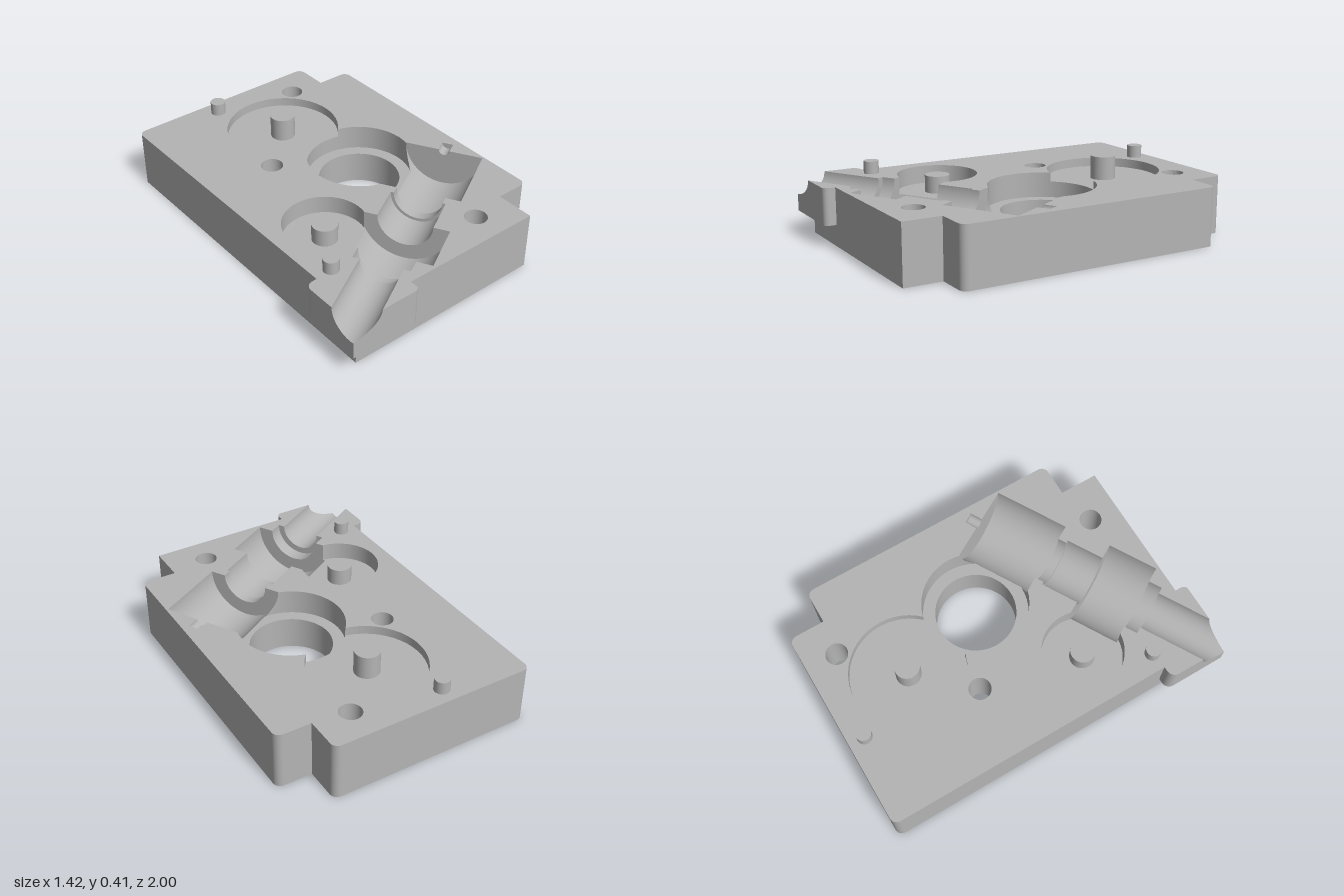
import * as THREE from 'three';

const TOP = 0.325, LUG = 0.12, EPS = 1e-6;
const V = (x, y, z) => new THREE.Vector3(x, y, z);
const metal = new THREE.MeshStandardMaterial({ color: 0xb4b4b4 });
metal.name = 'grey metal';

// --- Convex faces: arrays of { p: position, n: normal } ---
const planeOf = f => new THREE.Plane().setFromCoplanarPoints(f[0].p, f[1].p, f[2].p);
const mix = (a, b, t) => ({ p: a.p.clone().lerp(b.p, t), n: a.n.clone().lerp(b.n, t) });

// Face from points, turned so that it looks along the given direction
function face(points, outward, normals) {
  const f = points.map((p, i) => ({ p, n: normals ? normals[i] : outward }));
  return planeOf(f).normal.dot(outward) < 0 ? f.reverse() : f;
}

// Cut a face by a plane into [front, back]
function split(f, plane) {
  const d = f.map(v => plane.distanceToPoint(v.p));
  if (d.every(k => k > -EPS)) return [f, null];
  if (d.every(k => k < EPS)) return [null, f];
  const front = [], back = [];
  f.forEach((v, i) => {
    const j = (i + 1) % f.length;
    if (d[i] > -EPS) front.push(v);
    if (d[i] < EPS) back.push(v);
    if ((d[i] > EPS && d[j] < -EPS) || (d[i] < -EPS && d[j] > EPS)) {
      const m = mix(v, f[j], d[i] / (d[i] - d[j]));
      front.push(m);
      back.push(m);
    }
  });
  return [front, back];
}

// Pieces of a face outside a convex cutter
function outside(f, cutter) {
  const out = [];
  let rest = f;
  for (const plane of cutter.planes) {
    const [front, back] = split(rest, plane);
    if (front) out.push(front);
    if (!back) return [f];
    rest = back;
  }
  return out;
}

// Part of a face on the inner side of every plane
function inside(f, planes) {
  for (const plane of planes) if (f) f = split(f, plane)[1];
  return f;
}

// Round or conical cutter between two points
function frustum(a, b, ra, rb = ra, sides = 48) {
  const axis = b.clone().sub(a).normalize();
  const u = Math.abs(axis.y) > 0.5 ? V(1, 0, 0) : V(0, 1, 0).cross(axis).normalize();
  const w = axis.clone().cross(u);
  const dirs = Array.from({ length: sides }, (_, i) => {
    const t = (i / sides) * Math.PI * 2;
    return u.clone().multiplyScalar(Math.cos(t)).addScaledVector(w, Math.sin(t));
  });
  const slope = (ra - rb) / a.distanceTo(b);
  const normals = dirs.map(d => d.clone().addScaledVector(axis, slope).normalize());
  const A = dirs.map(d => a.clone().addScaledVector(d, ra));
  const B = dirs.map(d => b.clone().addScaledVector(d, rb));
  const faces = [face(A, axis.clone().negate()), face(B, axis)];
  for (let i = 0; i < sides; i++) {
    const j = (i + 1) % sides;
    faces.push(face([A[i], A[j], B[j], B[i]], normals[i], [normals[i], normals[j], normals[j], normals[i]]));
  }
  return { faces, planes: faces.map(planeOf) };
}

// Outline from [x, z, radius] corners
function outline(corners) {
  const pts = [];
  corners.forEach(([x, z, r = 0], i) => {
    const c = V(x, 0, z), n = corners.length;
    if (!r) return pts.push({ p: c, arc: -1 });
    const to = k => V(corners[k][0], 0, corners[k][1]).sub(c).normalize();
    const d1 = to((i + n - 1) % n), d2 = to((i + 1) % n);
    const centre = c.clone().addScaledVector(d1, r).addScaledVector(d2, r);
    for (let s = 0; s <= 8; s++) {
      const t = (s / 8) * Math.PI / 2;
      const m = d2.clone().multiplyScalar(-Math.cos(t)).addScaledVector(d1, -Math.sin(t));
      pts.push({ p: centre.clone().addScaledVector(m, r), n: m, arc: i });
    }
  });
  return pts;
}

function walls(pts, y0, y1) {
  return pts.map((a, i) => {
    const b = pts[(i + 1) % pts.length];
    const flat = V(b.p.z - a.p.z, 0, a.p.x - b.p.x).normalize();
    const smooth = a.arc >= 0 && a.arc === b.arc;
    const na = smooth ? a.n : flat, nb = smooth ? b.n : flat;
    const at = (q, y) => V(q.p.x, y, q.p.z);
    return face([at(a, y0), at(b, y0), at(b, y1), at(a, y1)], flat, [na, nb, nb, na]);
  });
}

function cap(pts, y, up) {
  const flat = pts.map(q => new THREE.Vector2(q.p.x, q.p.z));
  return THREE.ShapeUtils.triangulateShape(flat, [])
    .map(t => face(t.map(i => V(flat[i].x, y, flat[i].y)), V(0, up, 0)));
}

// Join all faces into one geometry, sharing points along touching edges
function toGeometry(faces) {
  const key = p => p.toArray().map(k => Math.round(k * 1e5)).join();
  const points = new Map();
  for (const f of faces) for (const v of f) {
    const k = key(v.p);
    if (!points.has(k)) points.set(k, v.p);
    v.p = points.get(k);
  }
  const all = [...points.values()], pos = [], nor = [];
  const e = new THREE.Vector3(), q = new THREE.Vector3();
  for (const f of faces) {
    const ring = [];
    f.forEach((a, i) => {
      const b = f[(i + 1) % f.length];
      if (a.p === b.p) return;
      ring.push(a);
      const len2 = e.subVectors(b.p, a.p).lengthSq();
      const hits = [];
      for (const p of all) {
        const t = q.subVectors(p, a.p).dot(e) / len2;
        if (t <= 0 || t >= 1 || p === a.p || p === b.p) continue;
        if (q.addScaledVector(e, -t).lengthSq() < 2e-10) hits.push({ p, n: mix(a, b, t).n, t });
      }
      ring.push(...hits.sort((g, h) => g.t - h.t));
    });
    if (ring.length < 3) continue;
    const mid = { p: V(0, 0, 0), n: V(0, 0, 0) };
    ring.forEach(v => { mid.p.addScaledVector(v.p, 1 / ring.length); mid.n.add(v.n); });
    ring.forEach((a, i) => {
      const tri = ring.length === 3 ? ring : [mid, a, ring[(i + 1) % ring.length]];
      if (ring.length === 3 && i) return;
      for (const v of tri) {
        pos.push(...v.p.toArray());
        nor.push(...v.n.clone().normalize().toArray());
      }
    });
  }
  const g = new THREE.BufferGeometry();
  g.setAttribute('position', new THREE.Float32BufferAttribute(pos, 3));
  g.setAttribute('normal', new THREE.Float32BufferAttribute(nor, 3));
  return g;
}

export function createModel() {
  const group = new THREE.Group();

  // Block with a side step, plus a raised lug on the front right corner
  const edge = [[-0.64, -1, 0.04], [0.515, -1, 0.04], [0.515, -0.795], [0.71, -0.795, 0.04],
    [0.71, 0.72, 0.04], [0.515, 0.72], [0.515, 0.935]];
  const lug = [[-0.305, 0.935], [-0.305, 1, 0.03], [-0.71, 1], [-0.71, 0.64, 0.045], [-0.64, 0.64]];
  const base = outline([...edge, [-0.64, 0.935]]), full = outline([...edge, ...lug]);
  let block = [...walls(base, 0, LUG), ...walls(full, LUG, TOP), ...cap(base, 0, -1),
    ...cap(full, TOP, 1), ...cap(outline([...lug, [-0.64, 0.935]]), LUG, -1)];

  // Round pockets and the through bore
  const drill = (x, z, r, y0, y1 = 0.4) => frustum(V(x, y0, z), V(x, y1, z), r);
  const cutters = [
    drill(0.037, -0.54, 0.317, TOP - 0.05),
    drill(0.19, -0.037, 0.293, TOP - 0.14),
    drill(0.19, -0.037, 0.225, -0.1, 0.25),
    drill(-0.338, 0.32, 0.222, TOP - 0.1),
  ];

  // Screw holes, countersunk from below
  for (const [x, z] of [[0.314, -0.82], [-0.243, -0.262], [0.293, 0.767]])
    cutters.push(drill(x, z, 0.061, -0.1), frustum(V(x, -0.02, z), V(x, 0.05, z), 0.125, 0.055));

  // Stepped half-round channel running diagonally: [start, end, radius]
  const c = Math.cos(Math.PI / 6), s = 0.5, off = 0.485;
  const along = t => V(t * c + off * s, TOP, -t * s + off * c);
  for (const [t0, t1, r] of [[-1.6, -0.62, 0.113], [-0.66, -0.5, 0.15], [-0.582, -0.295, 0.237],
    [-0.4, -0.08, 0.15], [-0.12, 0, 0.133], [-0.03, 0.4, 0.219], [0.35, 0.471, 0.031]])
    cutters.push(frustum(along(t0), along(t1), r));

  // Cut the block, then line each cut with the cutter's own inward faces
  const limits = [new THREE.Plane(V(0, 1, 0), -TOP), new THREE.Plane(V(0, -1, 0), 0),
    new THREE.Plane(V(-1, 0, 0), -0.71), new THREE.Plane(V(0, 0, 1), -1)];
  for (const k of cutters) block = block.flatMap(f => outside(f, k));
  for (const k of cutters) {
    let lining = k.faces.map(f => inside(f, limits)).filter(Boolean);
    for (const other of cutters) if (other !== k) lining = lining.flatMap(f => outside(f, other));
    block.push(...lining.map(f => f.map(v => ({ p: v.p, n: v.n.clone().negate() })).reverse()));
  }
  const body = new THREE.Mesh(toGeometry(block.map(f => f.map(v => ({ ...v })))), metal);
  body.name = 'housing';
  group.add(body);

  // Gear posts and locating pins
  for (const [name, x, z, r, y0, y1] of [
    ['largePost', 0.037, -0.54, 0.069, TOP - 0.05, 0.405],
    ['smallPost', -0.338, 0.32, 0.069, TOP - 0.1, 0.32],
    ['backPin', -0.16, -0.907, 0.042, TOP, 0.395],
    ['frontPin', -0.542, 0.627, 0.042, TOP, 0.395]]) {
    const post = new THREE.Mesh(new THREE.CylinderGeometry(r, r, y1 - y0, 40), metal);
    post.position.set(x, (y0 + y1) / 2, z);
    post.name = name;
    group.add(post);
  }
  return group;
}
